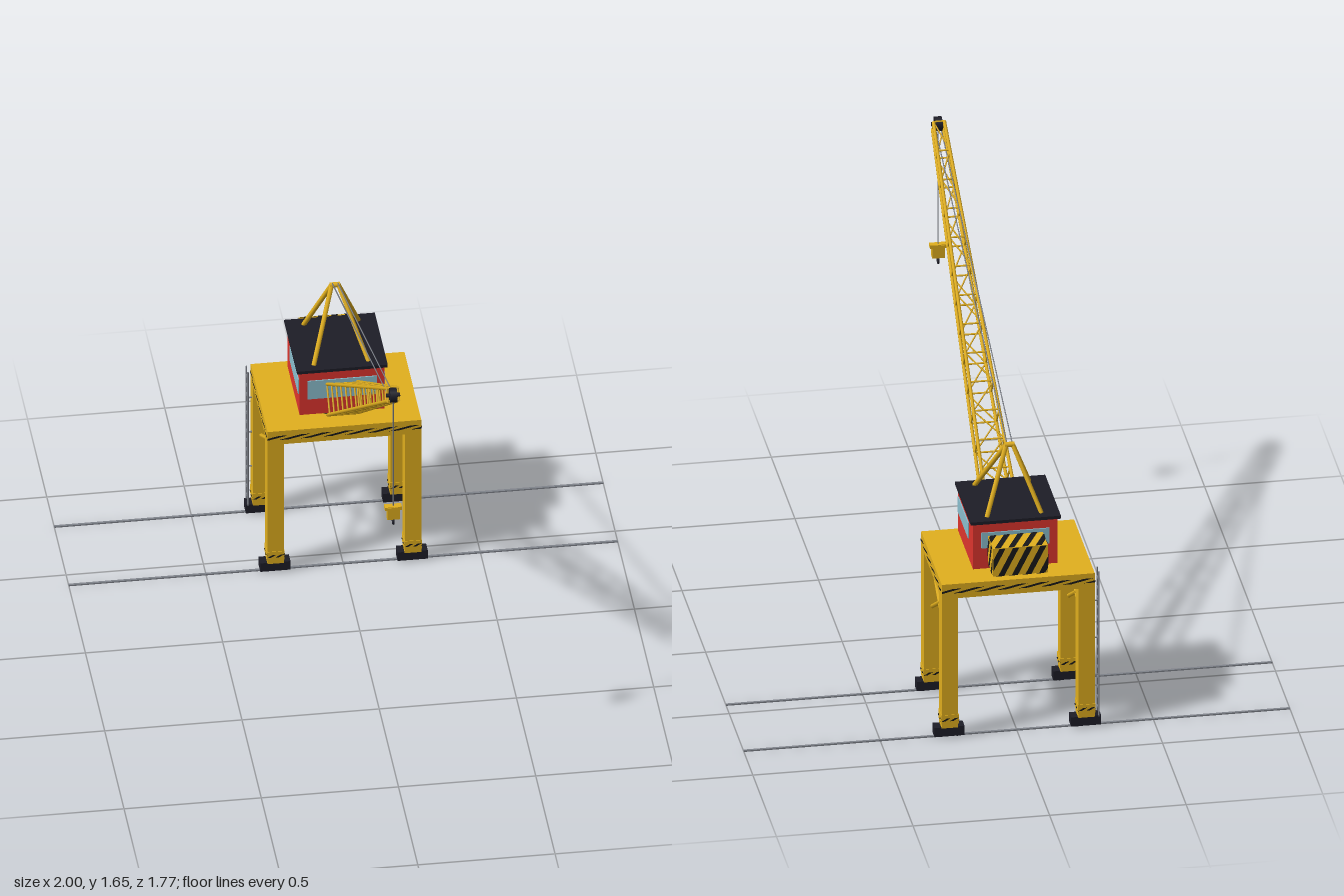
import * as THREE from 'three';

const mat = (name, color) => {
  const m = new THREE.MeshStandardMaterial({ color });
  m.name = name;
  return m;
};

export function createModel() {
  const root = new THREE.Group();
  root.name = 'portalCrane';
  const yellow = mat('yellow paint', 0xe2b01e);
  const red = mat('red paint', 0xe0352e);
  const dark = mat('dark steel', 0x1d1d27);
  const black = mat('black stripe', 0x18181a);
  const glass = mat('window glass', 0x8cc0d0);
  const grey = mat('grey steel', 0x80848c);
  black.side = THREE.DoubleSide;

  const V = (x, y, z) => new THREE.Vector3(x, y, z);
  const add = (name, geo, m, parent = root) => {
    const mesh = new THREE.Mesh(geo, m);
    mesh.name = name;
    parent.add(mesh);
    return mesh;
  };
  const group = (name) => {
    const g = new THREE.Group();
    g.name = name;
    root.add(g);
    return g;
  };
  // Box given by its two extremes on each axis
  const box = (name, m, x0, x1, y0, y1, z0, z1, parent) => {
    const b = add(name, new THREE.BoxGeometry(x1 - x0, y1 - y0, z1 - z0), m, parent);
    b.position.set((x0 + x1) / 2, (y0 + y1) / 2, (z0 + z1) / 2);
    return b;
  };
  // Straight round bar between two points
  const bar = (name, m, a, b, r, parent, sides = 6) => {
    const d = b.clone().sub(a);
    const c = add(name, new THREE.CylinderGeometry(r, r, d.length(), sides), m, parent);
    c.position.copy(a).add(b).multiplyScalar(0.5);
    c.quaternion.setFromUnitVectors(V(0, 1, 0), d.normalize());
    return c;
  };
  // Keep the part of a polygon where sign * x <= limit
  const clip = (pts, sign, limit) => {
    const out = [];
    pts.forEach((p, i) => {
      const q = pts[(i + 1) % pts.length];
      const dp = sign * p.x - limit, dq = sign * q.x - limit;
      if (dp <= 0) out.push(p);
      if (dp * dq < 0) out.push(p.clone().lerp(q, dp / (dp - dq)));
    });
    return out;
  };
  // Slanted hazard stripes on a w x h face looking along +z, turned by rx and ry
  const stripes = (w, h, pitch, lean, pos, rx, ry, parent) => {
    const shapes = [];
    for (let c = -w / 2 - lean; c < w / 2 + lean; c += pitch) {
      const k = pitch * 0.45;
      let p = [[c - lean / 2, -h / 2], [c - lean / 2 + k, -h / 2], [c + lean / 2 + k, h / 2], [c + lean / 2, h / 2]]
        .map(([x, y]) => new THREE.Vector2(x, y));
      p = clip(clip(p, 1, w / 2), -1, w / 2);
      if (p.length > 2) shapes.push(new THREE.Shape(p));
    }
    const s = add('hazardStripes', new THREE.ShapeGeometry(shapes), black, parent);
    s.position.copy(pos);
    s.rotation.set(rx, ry, 0);
  };
  // Stripes on the four upright sides of a box
  const stripeRing = (cx, cy, cz, w, d, h, pitch, lean, parent) => {
    const e = 0.002;
    stripes(w, h, pitch, lean, V(cx, cy, cz + d / 2 + e), 0, 0, parent);
    stripes(w, h, pitch, lean, V(cx, cy, cz - d / 2 - e), 0, Math.PI, parent);
    stripes(d, h, pitch, lean, V(cx + w / 2 + e, cy, cz), 0, Math.PI / 2, parent);
    stripes(d, h, pitch, lean, V(cx - w / 2 - e, cy, cz), 0, -Math.PI / 2, parent);
  };

  const zFront = -0.432, zBack = -0.807, zMid = -0.618;

  // Ground rails
  for (const z of [zFront, zBack]) box('rail', grey, -1, 1, 0, 0.005, z - 0.005, z + 0.005);

  // Portal: deck, legs, wheel bogies and cross braces
  const portal = group('portal');
  box('deck', yellow, -0.28, 0.28, 0.567, 0.625, -0.837, -0.4, portal);
  stripeRing(0, 0.597, zMid, 0.56, 0.437, 0.018, 0.08, 0.08, portal);
  for (const s of [-1, 1]) {
    for (const z of [zFront, zBack]) {
      const x = s * 0.25;
      box('leg', yellow, x - 0.03, x + 0.03, 0.045, 0.567, z - 0.03, z + 0.03, portal);
      box('legCollar', yellow, x - 0.032, x + 0.032, 0.062, 0.098, z - 0.032, z + 0.032, portal);
      stripeRing(x, 0.08, z, 0.064, 0.064, 0.012, 0.03, 0.02, portal);
      box('bogie', dark, x - 0.055, x + 0.055, 0.008, 0.045, z - 0.022, z + 0.022, portal);
      for (const k of [-0.03, 0.03])
        bar('wheel', dark, V(x + k, 0.022, z - 0.017), V(x + k, 0.022, z + 0.017), 0.018, portal, 14);
    }
    bar('crossBrace', yellow, V(s * 0.25, 0.35, -0.46), V(s * 0.25, 0.54, -0.778), 0.008, portal);
    bar('crossBrace', yellow, V(s * 0.25, 0.54, -0.46), V(s * 0.25, 0.35, -0.778), 0.008, portal);
  }

  // Ladder on the right back leg
  const ladder = group('ladder');
  for (const k of [-0.02, 0.02])
    bar('ladderRail', grey, V(-0.297, 0.04, zBack + k), V(-0.297, 0.625, zBack + k), 0.003, ladder);
  for (let y = 0.07; y < 0.62; y += 0.04)
    bar('rung', grey, V(-0.297, y, zBack - 0.02), V(-0.297, y, zBack + 0.02), 0.0025, ladder);
  for (const y of [0.2, 0.35, 0.5])
    bar('ladderBracket', grey, V(-0.297, y, zBack), V(-0.28, y, zBack), 0.003, ladder);

  // Machinery house with windows all round
  const house = group('house');
  bar('turntable', dark, V(0, 0.625, zMid), V(0, 0.648, zMid), 0.143, house, 32);
  box('cabin', red, -0.155, 0.155, 0.647, 0.83, -0.775, -0.46, house);
  box('roof', dark, -0.165, 0.165, 0.83, 0.842, -0.787, -0.453, house);
  box('frontWindow', glass, -0.126, 0.126, 0.715, 0.794, -0.462, -0.456, house);
  box('backWindow', glass, -0.125, 0.125, 0.73, 0.792, -0.779, -0.773, house);
  for (const s of [-1, 1])
    box('sideWindow', glass, s * 0.156 - 0.003, s * 0.156 + 0.003, 0.73, 0.792, -0.69, -0.475, house);

  // Counterweight
  const weight = group('counterweight');
  box('weightBlock', yellow, -0.1, 0.1, 0.668, 0.778, -0.885, -0.775, weight);
  stripeRing(0, 0.723, -0.83, 0.2, 0.11, 0.11, 0.05, 0.055, weight);
  stripes(0.2, 0.11, 0.05, 0.055, V(0, 0.78, -0.83), -Math.PI / 2, 0, weight);
  stripes(0.2, 0.11, 0.05, 0.055, V(0, 0.666, -0.83), Math.PI / 2, 0, weight);

  // A-frame above the roof
  const frame = group('aFrame');
  for (const s of [-1, 1])
    for (const z of [-0.487, -0.75])
      bar('aFrameLeg', yellow, V(s * 0.1, 0.84, z), V(s * 0.012, 1.075, -0.648), 0.009, frame);
  bar('aFramePin', yellow, V(-0.018, 1.075, -0.648), V(0.018, 1.075, -0.648), 0.01, frame, 10);

  // Lattice boom: four tapering chords laced bay by bay
  const boom = group('boom');
  const node = (side, upper, t) => {
    const a = upper ? V(0.055, 0.772, -0.462) : V(0.055, 0.65, -0.443);
    const b = upper ? V(0.02, 1.64, 0.842) : V(0.02, 1.6, 0.864);
    const p = a.lerp(b, t);
    p.x *= side;
    return p;
  };
  for (const s of [-1, 1])
    for (const u of [true, false]) bar('boomChord', yellow, node(s, u, 0), node(s, u, 1), 0.0065, boom);
  // Lower joints sit further out so that the posts stand square to the boom
  const joint = (side, upper, t) => node(side, upper, upper ? t : t + 0.035 * (1 - t));
  const bays = 13;
  for (let i = 0; i <= bays; i++) {
    const t = i / bays, n = (i + 1) / bays;
    for (const s of [-1, 1]) {
      bar('boomPost', yellow, joint(s, true, t), joint(s, false, t), 0.0035, boom, 5);
      bar('boomTie', yellow, joint(-1, s > 0, t), joint(1, s > 0, t), 0.0035, boom, 5);
      if (i < bays) {
        const k = i % 2 ? s : -s;
        bar('boomLacing', yellow, joint(k, s > 0, t), joint(-k, s > 0, n), 0.003, boom, 5);
      }
    }
  }
  bar('boomFoot', yellow, node(-1, false, 0), node(1, false, 0), 0.006, boom);

  // Tip sheave and stay cables
  bar('tipSheave', dark, V(-0.013, 1.622, 0.86), V(0.013, 1.622, 0.86), 0.027, boom, 20);
  bar('tipAxle', dark, V(-0.025, 1.622, 0.86), V(0.025, 1.622, 0.86), 0.008, boom, 10);
  for (const s of [-1, 1])
    bar('stayCable', grey, V(s * 0.01, 1.082, -0.648), V(s * 0.01, 1.602, 0.855), 0.0022);

  // Hoist cable, hook block and hook ring
  const hoist = group('hoist');
  bar('hoistCable', grey, V(0, 1.61, 0.86), V(0, 1.13, 0.86), 0.0025, hoist);
  box('hookBlock', yellow, -0.023, 0.023, 1.085, 1.136, 0.846, 0.874, hoist);
  box('hookBlockHead', yellow, -0.031, 0.031, 1.124, 1.138, 0.848, 0.872, hoist);
  const ring = add('hookRing', new THREE.TorusGeometry(0.012, 0.0038, 8, 20), dark, hoist);
  ring.position.set(0, 1.072, 0.86);
  ring.rotation.y = Math.PI / 2;

  return root;
}
